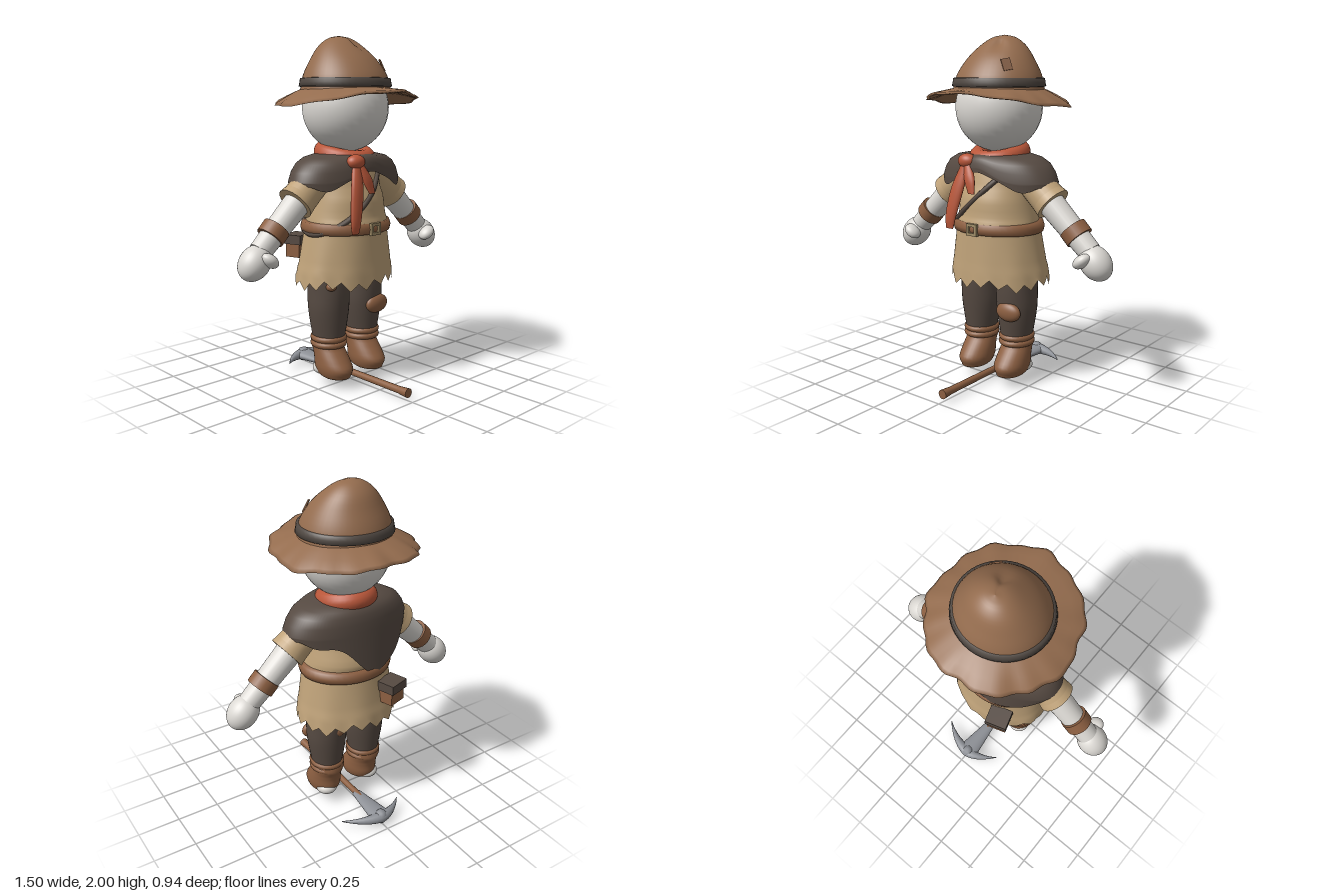
import * as THREE from 'three';

const mat = (name, color) => Object.assign(new THREE.MeshStandardMaterial({ color, side: THREE.DoubleSide }), { name });
const M = {
  hat: mat('hat felt', 0x946c4e),
  band: mat('hat band', 0x4f4741),
  patch: mat('patch brown', 0x80583c),
  leather: mat('leather', 0x8c5f41),
  dark: mat('dark cloth', 0x564a42),
  tunic: mat('tunic tan', 0xbfa279),
  scarf: mat('scarf red', 0xb9573a),
  skin: mat('pale skin', 0xdbd8d3),
  steel: mat('steel', 0x8d9096),
  brass: mat('buckle', 0xa08d68),
};

const add = (parent, name, geo, material, pos = [0, 0, 0], scale = [1, 1, 1]) => {
  const m = new THREE.Mesh(geo, material);
  m.name = name;
  m.position.set(...pos);
  m.scale.set(...scale);
  parent.add(m);
  return m;
};

// Closed loops of points stitched into one smooth surface: f(row, angle) -> [x, y, z]
function skin(rows, segs, f) {
  const p = [], idx = [];
  for (let i = 0; i < rows; i++)
    for (let j = 0; j < segs; j++) {
      p.push(...f(i, (j / segs) * Math.PI * 2));
      if (i === rows - 1) continue;
      const a = i * segs + j, b = i * segs + (j + 1) % segs;
      idx.push(a, a + segs, b + segs, a, b + segs, b);
    }
  const g = new THREE.BufferGeometry();
  g.setAttribute('position', new THREE.Float32BufferAttribute(p, 3));
  g.setIndex(idx);
  g.computeVertexNormals();
  return g;
}

// Elliptical rings from top to bottom: [y, rx, rz, cz, cx]
const loft = (rings, segs = 32) => skin(rings.length, segs, (i, a) => {
  const [y, rx, rz, cz = 0, cx = 0] = rings[i];
  return [cx + rx * Math.sin(a), y, cz + rz * Math.cos(a)];
});

// Smoothly resample a few rings
function smooth(rings, n) {
  const at = (k) => new THREE.CatmullRomCurve3(rings.map((r) => new THREE.Vector3(r[k[0]] || 0, r[k[1]] || 0, r[k[2]] || 0)));
  const A = at([0, 1, 2]), B = at([3, 4, 4]);
  return Array.from({ length: n + 1 }, (_, i) => {
    const a = A.getPoint(i / n), b = B.getPoint(i / n);
    return [a.x, Math.max(a.y, 0.001), Math.max(a.z, 0.001), b.x, b.y];
  });
}

// Tapered cylinder between two points
function limb(parent, name, a, b, ra, rb, material, open = false) {
  const A = new THREE.Vector3(...a), B = new THREE.Vector3(...b);
  const m = add(parent, name, new THREE.CylinderGeometry(rb, ra, A.distanceTo(B), 24, 1, open), material);
  m.position.copy(A).add(B).multiplyScalar(0.5);
  m.quaternion.setFromUnitVectors(new THREE.Vector3(0, 1, 0), B.sub(A).normalize());
  return m;
}

const ball = () => new THREE.SphereGeometry(1, 32, 24);

function buildHat(root) {
  const hat = new THREE.Group();
  hat.name = 'hat';
  root.add(hat);
  const crown = smooth([[2, 0, 0, -0.09], [1.985, 0.07, 0.06, -0.085], [1.94, 0.135, 0.12, -0.075], [1.86, 0.2, 0.185, -0.05],
    [1.77, 0.247, 0.235, -0.038], [1.7, 0.262, 0.25, -0.035]], 18);
  add(hat, 'crown', skin(crown.length, 48, (i, a) => {
    const [y, rx, rz, cz] = crown[i];
    const dent = -0.03 * Math.exp(-((y - 1.95) ** 2) / 0.0012) * Math.exp(-((a - 0.35) ** 2) / 0.08);
    return [(rx + dent) * Math.sin(a), y, cz + (rz + dent) * Math.cos(a)];
  }), M.hat);
  // Brim: top surface, rim, then underside
  const steps = [[0, 0.012], [0.3, 0.01], [0.6, 0.009], [0.9, 0.008], [1, 0], [0.9, -0.008], [0.6, -0.008], [0.3, -0.008], [0, -0.008]];
  add(hat, 'brim', skin(steps.length, 96, (i, a) => {
    const [t, dy] = steps[i], c = Math.cos(a);
    const edge = 0.403 + 0.008 * Math.sin(7 * a + 1) + 0.006 * Math.sin(17 * a) + 0.004 * Math.sin(11 * a);
    const r = 0.235 + (edge - 0.235) * t;
    const outer = 1.612 + 0.05 * c * c + 0.025 * c + 0.004 * Math.sin(9 * a);
    return [r * Math.sin(a), 1.7 + (outer - 1.7) * t ** 1.2 + dy, -0.035 + r * c];
  }), M.hat);
  add(hat, 'hatBand', loft([[1.765, 0.245, 0.235, -0.036], [1.762, 0.262, 0.25, -0.036], [1.74, 0.265, 0.253, -0.036],
    [1.718, 0.27, 0.258, -0.036], [1.712, 0.25, 0.24, -0.036]], 48), M.band);
  const p = add(hat, 'hatPatch', new THREE.BoxGeometry(0.05, 0.068, 0.009), M.patch, [0.157, 1.835, 0.098]);
  p.lookAt(0.157 + 0.34, 1.835 + 0.22, 0.098 + 0.32);
  p.rotateZ(0.2);
}

const torso = [[1.34, 0.1, 0.1, -0.04], [1.28, 0.2, 0.15, -0.04], [1.15, 0.212, 0.185, -0.035], [1.0, 0.24, 0.215, -0.035],
  [0.92, 0.255, 0.22, -0.035], [0.75, 0.285, 0.235, -0.042], [0.605, 0.308, 0.25, -0.05]];

// Torso radii at a height
function torsoAt(y) {
  let i = 0;
  while (i < torso.length - 2 && torso[i + 1][0] > y) i++;
  const a = torso[i], b = torso[i + 1], t = (a[0] - y) / (a[0] - b[0]);
  return a.map((v, k) => v + (b[k] - v) * t);
}

function buildClothes(root) {
  // Tunic with a torn, zigzag hem
  const rings = smooth(torso, 24);
  add(root, 'tunic', skin(rings.length, 108, (i, a) => {
    const [y, rx, rz, cz] = rings[i], last = i === rings.length - 1;
    const tooth = Math.abs(((a / (Math.PI * 2)) * 18) % 1 - 0.5) * 0.09 + 0.012 * Math.sin(5 * a);
    const fold = 1 + 0.012 * Math.sin(9 * a) * THREE.MathUtils.clamp((0.9 - y) / 0.3, 0, 1);
    return [rx * fold * Math.sin(a), last ? y - 0.012 + tooth : y + (i > 21 ? 0.02 : 0), cz + rz * fold * Math.cos(a)];
  }), M.tunic);

  // Shoulder cape, open below the chin and hanging to a rounded point behind
  const rows = [[1.35, 0.12, 0.12], [1.34, 0.2, 0.16], [1.325, 0.275, 0.182], [1.295, 0.33, 0.198], [1.25, 0.365, 0.206], [1.2, 0.385, 0.21]];
  add(root, 'cape', skin(11, 96, (i, a) => {
    const [y0, rx, rz] = rows[Math.min(i, 5)], k = Math.max(0, i - 5) / 5;
    const f = a > Math.PI ? a - Math.PI * 2 : a;
    const lift = 1 - 0.5 * Math.exp(-((f / 0.35) ** 2));
    const drop = 0.23 * Math.exp(-(((a - Math.PI - 0.28) / 0.62) ** 2));
    const y = y0 - k * (0.035 + 0.015 * Math.cos(8 * a) + drop);
    return [rx * Math.sin(a) * (1 - 0.5 * k * drop), 1.35 - (1.35 - y) * lift, -0.04 + (rz + 0.08 * k * drop) * Math.cos(a)];
  }), M.dark);

  // Strap looping over one shoulder to the opposite hip
  const pts = [];
  for (let j = 0; j < 24; j++) {
    const a = (j / 24) * Math.PI * 2, y = 1.11 + 0.21 * Math.sin(a);
    const [, rx, rz, cz] = torsoAt(y);
    pts.push(new THREE.Vector3((rx + 0.004) * Math.sin(a), y, cz + (rz + 0.004) * Math.cos(a)));
  }
  add(root, 'strap', new THREE.TubeGeometry(new THREE.CatmullRomCurve3(pts, true), 72, 0.016, 8, true), M.dark);

  // Belt, buckle and rear pouch
  add(root, 'belt', loft([[0.966, 0.24, 0.21, -0.035], [0.96, 0.27, 0.233, -0.035], [0.93, 0.279, 0.241, -0.035],
    [0.902, 0.272, 0.235, -0.035], [0.896, 0.24, 0.21, -0.035]], 48), M.leather);
  const frame = new THREE.Shape([[-1, -1], [1, -1], [1, 1], [-1, 1]].map(([x, y]) => new THREE.Vector2(x * 0.036, y * 0.034)));
  frame.holes.push(new THREE.Path([[-1, -1], [-1, 1], [1, 1], [1, -1]].map(([x, y]) => new THREE.Vector2(x * 0.02, y * 0.018))));
  add(root, 'buckle', new THREE.ExtrudeGeometry(frame, { depth: 0.02, bevelEnabled: false }), M.brass, [0, 0.93, 0.196]);
  const pouch = new THREE.Group();
  pouch.name = 'pouch';
  pouch.position.set(-0.16, 0.79, -0.28);
  pouch.rotation.y = 0.3;
  root.add(pouch);
  add(pouch, 'pouchBody', new THREE.BoxGeometry(0.115, 0.1, 0.09), M.leather, [0, -0.012, 0]);
  add(pouch, 'pouchFlap', new THREE.BoxGeometry(0.13, 0.055, 0.115), M.dark, [0, 0.043, 0]);

  // Neck scarf
  const scarf = new THREE.Group();
  scarf.name = 'scarf';
  root.add(scarf);
  const wrap = add(scarf, 'scarfWrap', new THREE.TorusGeometry(0.122, 0.05, 16, 40).rotateX(Math.PI / 2), M.scarf, [0, 1.335, -0.045], [1, 1.1, 1.08]);
  wrap.rotation.x = 0.2;
  add(scarf, 'scarfKnot', ball(), M.scarf, [-0.088, 1.305, 0.14], [0.058, 0.042, 0.045]);
  add(scarf, 'longTail', loft(smooth([[1.3, 0.028, 0.02, 0.145, -0.088], [1.15, 0.044, 0.02, 0.188, -0.122],
    [0.98, 0.036, 0.016, 0.212, -0.155], [0.92, 0.026, 0.006, 0.214, -0.16]], 10), 16), M.scarf);
  add(scarf, 'shortTail', loft(smooth([[1.3, 0.022, 0.018, 0.15, -0.075], [1.21, 0.036, 0.018, 0.18, -0.04],
    [1.13, 0.022, 0.008, 0.195, -0.015]], 8), 16), M.scarf);
}

function buildSide(root, s) {
  const side = s > 0 ? 'left' : 'right', z = -0.035;
  // Arm
  const arm = new THREE.Group();
  arm.name = side + 'Arm';
  root.add(arm);
  limb(arm, 'sleeve', [s * 0.2, 1.235, z], [s * 0.375, 1.085, z], 0.09, 0.102, M.tunic, true);
  const hem = limb(arm, 'sleeveHem', [s * 0.345, 1.11, z], [s * 0.378, 1.083, z], 0.1, 0.106, M.tunic, true);
  add(hem, 'sleeveRim', new THREE.RingGeometry(0.06, 0.106, 24).rotateX(-Math.PI / 2), M.tunic, [0, 0.021, 0]);
  limb(arm, 'forearm', [s * 0.24, 1.2, z], [s * 0.62, 0.85, z], 0.083, 0.062, M.skin);
  limb(arm, 'wristBand', [s * 0.505, 0.967, z], [s * 0.553, 0.918, z], 0.079, 0.079, M.leather);
  const hand = add(arm, 'hand', ball(), M.skin, [s * 0.658, 0.798, z + 0.005], [0.084, 0.105, 0.086]);
  hand.rotation.z = s * 0.75;
  const thumb = add(arm, 'thumb', ball(), M.skin, [s * 0.618, 0.815, 0.048], [0.034, 0.055, 0.048]);
  thumb.rotation.z = -s * 0.9;

  // Leg and boot
  const leg = new THREE.Group();
  leg.name = side + 'Leg';
  leg.position.x = s * 0.132;
  root.add(leg);
  add(leg, 'trouserLeg', loft(smooth([[0.72, 0.12, 0.125, -0.04], [0.57, 0.118, 0.128, -0.04], [0.45, 0.117, 0.12, -0.04],
    [0.27, 0.088, 0.098, -0.04]], 12)), M.dark);
  add(leg, 'boot', loft(smooth([[0.3, 0.09, 0.1, -0.04], [0.22, 0.089, 0.097, -0.04], [0.165, 0.093, 0.112, -0.015],
    [0.11, 0.094, 0.128, 0.005], [0.068, 0.08, 0.105, 0.01], [0.05, 0.05, 0.07, 0.01], [0.047, 0, 0, 0.01]], 20)), M.leather);
  add(leg, 'heel', ball(), M.skin, [s * 0.018, 0.095, -0.065], [0.065, 0.042, 0.064]);
  for (const y of [0.282, 0.248])
    add(leg, 'bootCuff', new THREE.TorusGeometry(0.088, 0.015, 10, 32).rotateX(Math.PI / 2), M.leather, [0, y, -0.04], [1, 1.2, 1.08]);
}

function buildPick(root) {
  const pick = new THREE.Group();
  pick.name = 'pickaxe';
  root.add(pick);
  limb(pick, 'handle', [0, 0.045, -0.44], [0, 0.045, 0.43], 0.017, 0.021, M.leather);
  limb(pick, 'handleEnd', [0, 0.045, 0.4], [0, 0.045, 0.47], 0.021, 0.027, M.leather);
  // Curved blade tapering to both points
  add(pick, 'blade', skin(17, 12, (i, a) => {
    const x = 0.22 - 0.4 * (i / 16), t = Math.abs(x) / (x > 0 ? 0.22 : 0.18), w = 1 - t ** 1.3;
    return [x, 0.045 + (0.003 + 0.03 * w) * Math.cos(a), -0.435 + 0.09 * t * t + (0.003 + 0.034 * w) * Math.sin(a)];
  }), M.steel);
  const socket = limb(pick, 'socket', [0, 0.045, -0.17], [0, 0.045, -0.42], 0.014, 0.032, M.steel);
  socket.scale.x = 2;
  add(pick, 'hub', new THREE.IcosahedronGeometry(0.045, 1), M.steel, [0, 0.045, -0.43], [0.9, 1, 0.9]);
}

export function createModel() {
  const root = new THREE.Group();
  root.name = 'wanderer';
  add(root, 'head', ball(), M.skin, [0, 1.6, -0.037], [0.25, 0.25, 0.243]);
  buildHat(root);
  buildClothes(root);
  for (const s of [1, -1]) buildSide(root, s);
  // Trouser patches: knee, thigh front and thigh back
  add(root, 'kneePatch', ball(), M.leather, [0.152, 0.448, 0.07], [0.082, 0.056, 0.036]);
  add(root, 'frontThighPatch', ball(), M.leather, [-0.2, 0.605, 0.06], [0.03, 0.025, 0.03]);
  add(root, 'backThighPatch', ball(), M.leather, [0.11, 0.54, -0.155], [0.035, 0.035, 0.018]);
  buildPick(root);
  return root;
}
